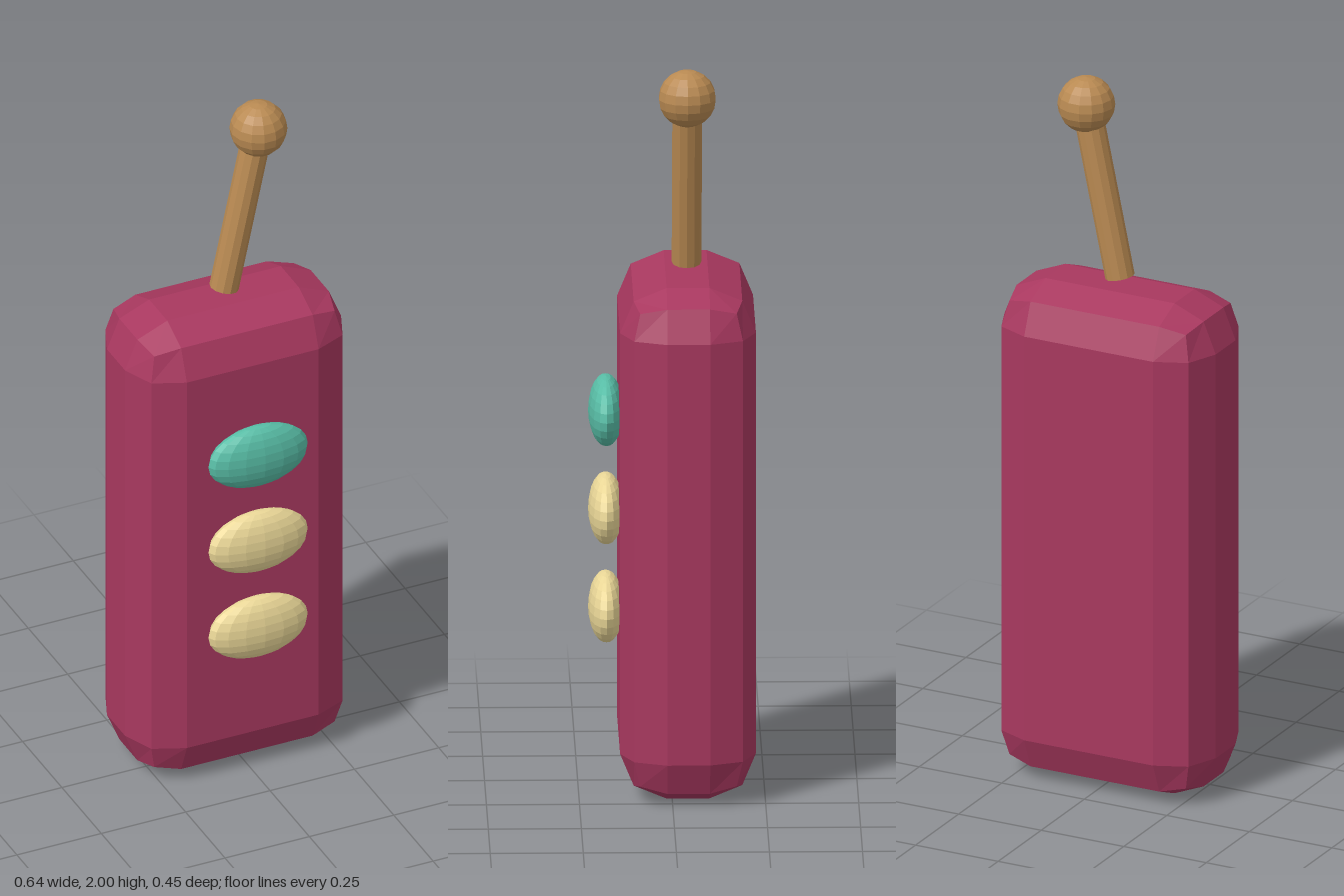
import * as THREE from 'three';
import { RoundedBoxGeometry } from 'three/addons/geometries/RoundedBoxGeometry.js';

const material = (color) => new THREE.MeshStandardMaterial({ color, flatShading: true });

export function createModel() {
  const model = new THREE.Group();
  const depthCentre = -0.0425;

  const add = (name, geometry, mat, x, y, z) => {
    const mesh = new THREE.Mesh(geometry, mat);
    mesh.name = name;
    mesh.position.set(x, y, z);
    model.add(mesh);
    return mesh;
  };

  // Handset body: box with a single chamfer-like rounding step
  add('body', new RoundedBoxGeometry(0.64, 1.42, 0.365, 1, 0.125),
    material(0xa8385f), 0, 0.71, depthCentre);

  // Oval buttons, half sunk into the front face
  const buttonGeometry = new THREE.SphereGeometry(1, 16, 12).scale(0.147, 0.094, 0.048);
  const teal = material(0x58bda6);
  const cream = material(0xead797);
  add('topButton', buttonGeometry, teal, 0, 1.03, 0.174);
  add('middleButton', buttonGeometry, cream, 0, 0.757, 0.174);
  add('bottomButton', buttonGeometry, cream, 0, 0.484, 0.174);

  // Tilted antenna rod ending inside its ball tip
  const wood = material(0xb98a52);
  const base = new THREE.Vector3(0, 1.441, depthCentre);
  const tip = new THREE.Vector3(0.102, 1.922, depthCentre);
  const axis = tip.clone().sub(base);
  const middle = base.clone().add(tip).multiplyScalar(0.5);
  const rod = add('antennaRod', new THREE.CylinderGeometry(0.04, 0.04, axis.length(), 12),
    wood, middle.x, middle.y, middle.z);
  rod.quaternion.setFromUnitVectors(new THREE.Vector3(0, 1, 0), axis.normalize());
  add('antennaTip', new THREE.SphereGeometry(0.078, 14, 10), wood, tip.x, tip.y, tip.z);

  return model;
}
